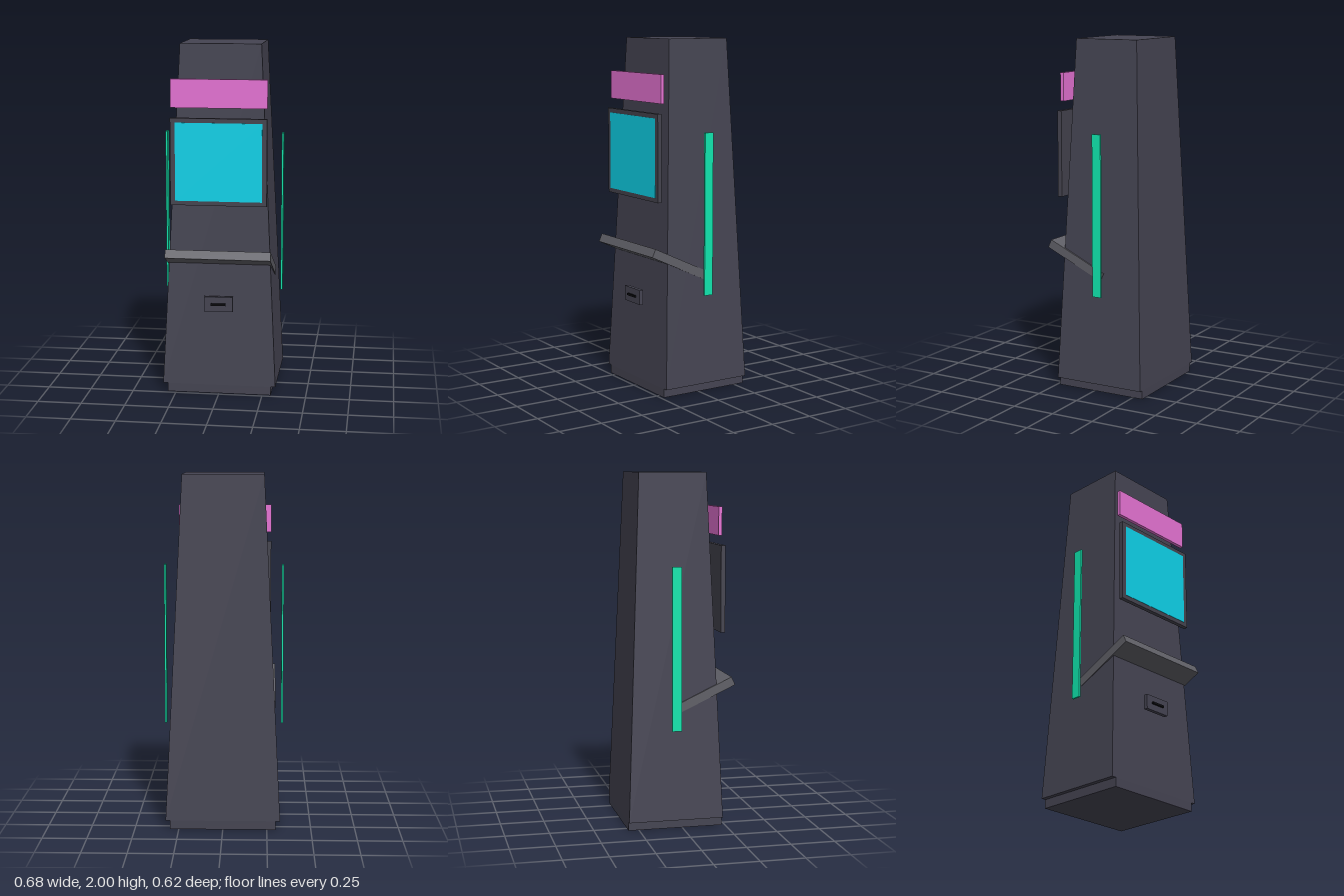
import * as THREE from 'three';

const paint = (color) => new THREE.MeshStandardMaterial({ color });
const dark = paint(0x454452);
const frameGrey = paint(0x45444f);
const panelGrey = paint(0x5f5f66);
const black = paint(0x0c0c10);
const cyan = paint(0x0ed3ea);
const pink = paint(0xe673d4);
const green = paint(0x10e6ae);

// Box given by its centre and size
function box(name, material, [x, y, z], [w, h, d]) {
  const mesh = new THREE.Mesh(new THREE.BoxGeometry(w, h, d), material);
  mesh.name = name;
  mesh.position.set(x, y, z);
  return mesh;
}

// Box whose top is narrowed by the given factors
function taperedBox(name, material, centre, size, topX, topZ) {
  const mesh = box(name, material, centre, size);
  const p = mesh.geometry.attributes.position;
  for (let i = 0; i < p.count; i++) {
    if (p.getY(i) > 0) p.setXYZ(i, p.getX(i) * topX, p.getY(i), p.getZ(i) * topZ);
  }
  mesh.geometry.computeVertexNormals();
  return mesh;
}

export function createModel() {
  const cabinet = new THREE.Group();
  cabinet.name = 'arcadeCabinet';

  // Tapered body on a narrower plinth
  cabinet.add(taperedBox('body', dark, [0, 1.025, -0.039], [0.65, 1.95, 0.542], 0.702, 0.705));
  cabinet.add(box('plinth', dark, [0, 0.025, -0.039], [0.598, 0.05, 0.542]));

  // Sign panel above the display
  cabinet.add(box('marquee', pink, [0, 1.73, 0.223], [0.542, 0.16, 0.02]));

  // Display
  cabinet.add(box('screenFrame', frameGrey, [0, 1.35, 0.241], [0.542, 0.49, 0.025]));
  cabinet.add(box('screen', cyan, [0, 1.35, 0.253], [0.488, 0.44, 0.005]));

  // Sloping control deck running through the body
  const deck = box('controlDeck', panelGrey, [0, 0.752, 0.124], [0.597, 0.05, 0.38]);
  deck.rotation.x = THREE.MathUtils.degToRad(-25);
  cabinet.add(deck);

  // Coin door with slot
  cabinet.add(box('coinDoor', dark, [0, 0.537, 0.247], [0.164, 0.085, 0.023]));
  cabinet.add(box('coinSlot', black, [0, 0.537, 0.263], [0.085, 0.012, 0.011]));

  // Light strips beside the body
  for (const side of [1, -1]) {
    cabinet.add(box(side > 0 ? 'leftLightStrip' : 'rightLightStrip', green,
      [side * 0.336, 1.025, -0.039], [0.011, 0.92, 0.054]));
  }

  return cabinet;
}
